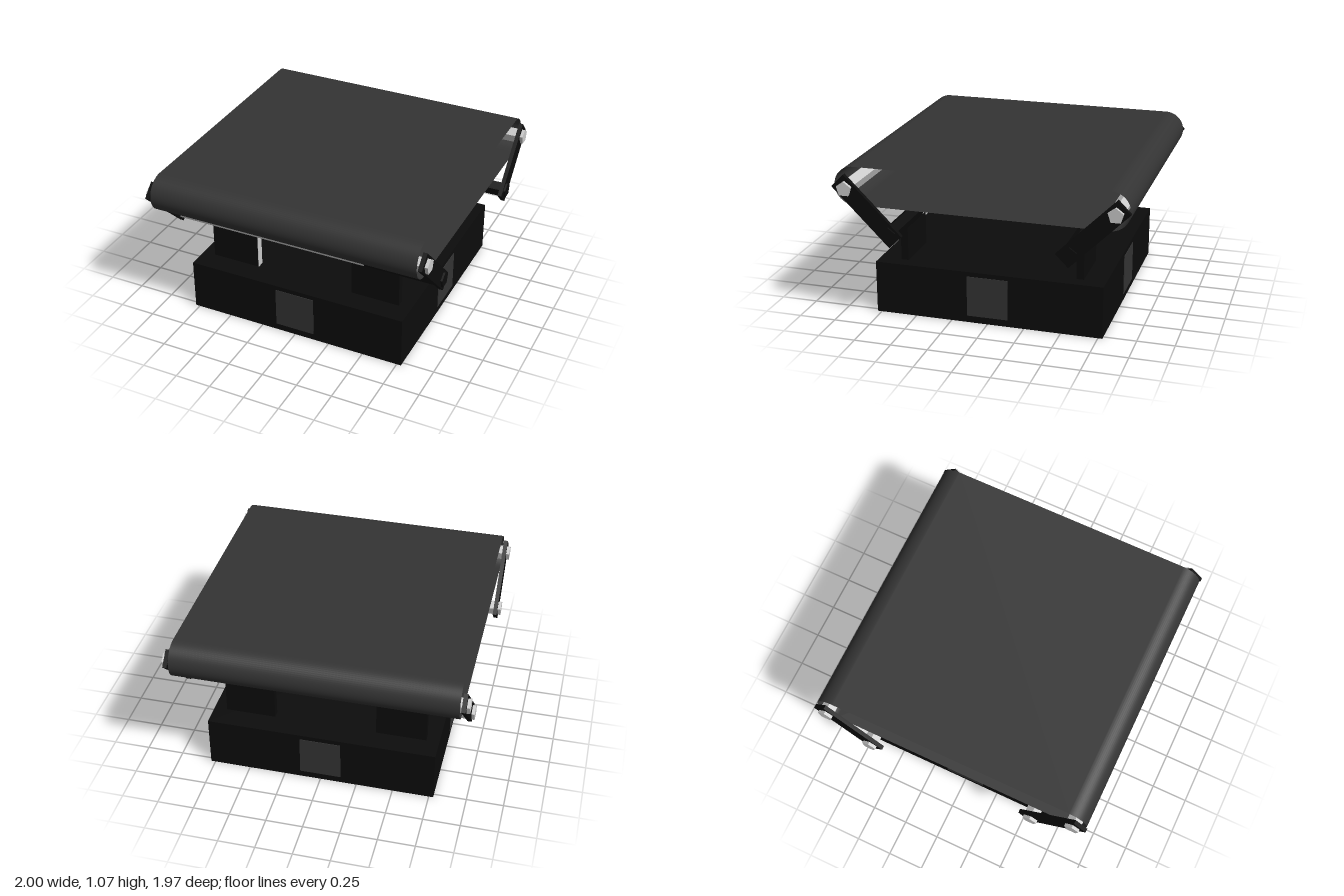
import * as THREE from 'three';

const black = new THREE.MeshStandardMaterial({ color: 0x0c0c0c });
black.name = 'black';
const beltGrey = new THREE.MeshStandardMaterial({ color: 0x343434, side: THREE.DoubleSide });
beltGrey.name = 'dark grey';
const metal = new THREE.MeshStandardMaterial({ color: 0xcccccc });
metal.name = 'light grey';

function add(parent, name, geometry, material, x = 0, y = 0, z = 0) {
  const mesh = new THREE.Mesh(geometry, material);
  mesh.name = name;
  mesh.position.set(x, y, z);
  parent.add(mesh);
  return mesh;
}

// five-sided bar along x with one edge on top and flat faces
function rod(parent, name, material, x0, x1, y, z) {
  let g = new THREE.CylinderGeometry(0.0525, 0.0525, x1 - x0, 5, 1, false, Math.PI / 2);
  g.rotateZ(Math.PI / 2);
  g = g.toNonIndexed();
  g.computeVertexNormals();
  add(parent, name, g, material, (x0 + x1) / 2, y, z);
}

export function createModel() {
  const model = new THREE.Group();
  model.name = 'conveyor';

  // base with a square panel on each side
  add(model, 'base', new THREE.BoxGeometry(1.56, 0.36, 1.56), black, 0, 0.18, 0);
  for (let i = 0; i < 4; i++) {
    const side = new THREE.Group();
    side.name = 'basePanel';
    side.rotation.y = i * Math.PI / 2;
    add(side, 'panel', new THREE.BoxGeometry(0.28, 0.28, 0.006), beltGrey, 0, 0.188, 0.781);
    model.add(side);
  }

  // belt: an open loop of thin sheet
  const belt = new THREE.Group();
  belt.name = 'belt';
  model.add(belt);
  const width = 1.885, r = 0.13, beltY = 0.94, turn = 0.846;
  for (const s of [1, -1]) {
    const flat = new THREE.PlaneGeometry(width, turn * 2);
    flat.rotateX(-s * Math.PI / 2);
    add(belt, s > 0 ? 'beltTop' : 'beltBottom', flat, beltGrey, 0, beltY + s * r, 0);
    const bend = new THREE.CylinderGeometry(r, r, width, 32, 1, true, -s * Math.PI / 2, Math.PI);
    bend.rotateZ(Math.PI / 2);
    add(belt, s > 0 ? 'beltFrontTurn' : 'beltBackTurn', bend, beltGrey, 0, beltY, s * turn);
  }

  for (const s of [1, -1]) {
    // belt axle and the two-part lower axle
    rod(model, 'beltAxle', metal, -1, 1, 0.93, s * 0.892);
    rod(model, 'lowerAxle', metal, -1, 0.44, 0.642, s * 0.6);
    rod(model, 'motor', black, 0.44, 0.992, 0.642, s * 0.6);

    for (const m of [1, -1]) {
      // slanted arm joining the axles
      const arm = add(model, 'arm', new THREE.BoxGeometry(0.028, 0.12, 0.548), black,
        m * 0.965, 0.787, s * 0.747);
      arm.rotation.x = -s * Math.PI / 4;
      // upright plate under the lower axle
      add(model, 'stand', new THREE.BoxGeometry(0.342, 0.26, 0.05), black, m * 0.521, 0.48, s * 0.605);
    }
  }

  // bright edge on one front stand
  add(model, 'standEdge', new THREE.BoxGeometry(0.004, 0.24, 0.05), metal, -0.349, 0.48, 0.605);

  return model;
}
